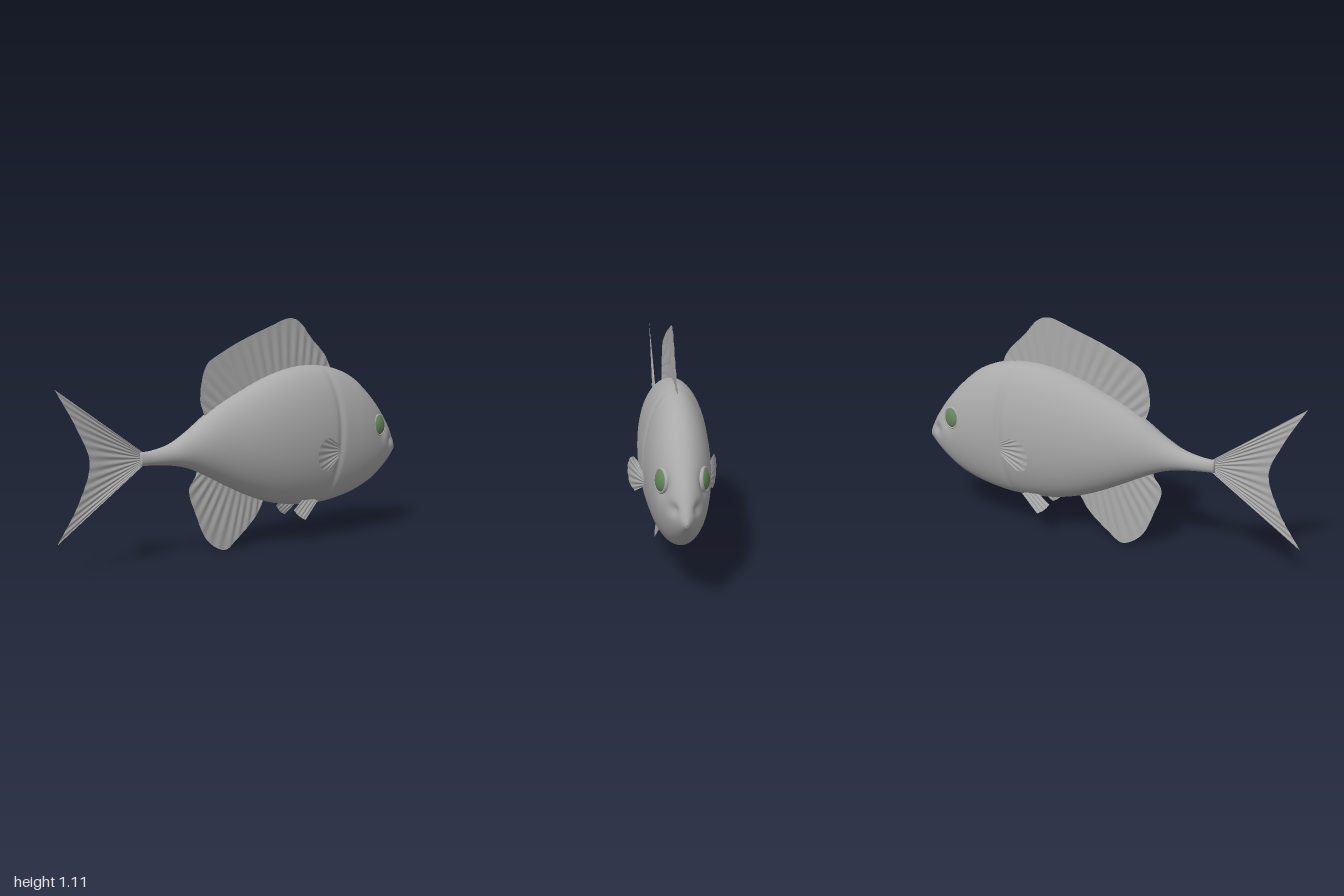
import * as THREE from 'three';

const skin = new THREE.MeshStandardMaterial({ color: 0xaaaaaa });
skin.name = 'grey skin';
const finSkin = new THREE.MeshStandardMaterial({ color: 0xaaaaaa, side: THREE.DoubleSide });
finSkin.name = 'grey fin';
const iris = new THREE.MeshStandardMaterial({ color: 0x64855a });
iris.name = 'green eye';

// Body stations: x, top y, bottom y, half width
const stations = [
  [-0.565, 0.53, 0.465, 0.018], [-0.5, 0.533, 0.462, 0.027], [-0.4, 0.555, 0.452, 0.044],
  [-0.3, 0.607, 0.428, 0.065], [-0.2, 0.674, 0.382, 0.088], [-0.1, 0.73, 0.33, 0.109],
  [0, 0.775, 0.28, 0.128], [0.1, 0.817, 0.237, 0.143], [0.2, 0.85, 0.205, 0.153],
  [0.3, 0.872, 0.186, 0.158], [0.4, 0.88, 0.178, 0.158], [0.5, 0.873, 0.178, 0.153],
  [0.6, 0.85, 0.19, 0.147], [0.7, 0.802, 0.213, 0.136], [0.8, 0.715, 0.252, 0.114],
  [0.88, 0.625, 0.302, 0.084], [0.94, 0.54, 0.35, 0.052], [0.975, 0.478, 0.383, 0.028],
  [0.995, 0.435, 0.402, 0.01],
];

const gauss = (d, w) => Math.exp(-(d * d) / (w * w));

function mesh(name, geometry, material) {
  const m = new THREE.Mesh(geometry, material);
  m.name = name;
  return m;
}

// Triangles for a grid of rows x cols vertices; wrap joins the last column to the first
function gridGeometry(positions, rows, cols, wrap) {
  const index = [];
  for (let i = 0; i < rows - 1; i++) {
    for (let j = 0; j < (wrap ? cols : cols - 1); j++) {
      const k = (j + 1) % cols;
      const a = i * cols + j, b = i * cols + k, c = a + cols, d = b + cols;
      index.push(a, b, c, b, d, c);
    }
  }
  const g = new THREE.BufferGeometry();
  g.setAttribute('position', new THREE.Float32BufferAttribute(positions, 3));
  g.setIndex(index);
  g.computeVertexNormals();
  return g;
}

// Body: elliptical sections with a gill groove, mouth crease and closed ends
function bodyGeometry() {
  const outline = new THREE.CatmullRomCurve3(
    stations.map(s => new THREE.Vector3(s[0], s[1], s[2])), false, 'catmullrom', 0.5);
  const widths = new THREE.CatmullRomCurve3(
    stations.map(s => new THREE.Vector3(s[0], s[3], 0)), false, 'catmullrom', 0.5);
  const rings = 180, cols = 56, pos = [];
  for (let i = -1; i <= rings + 1; i++) {
    const t = Math.min(Math.max(i / rings, 0), 1);
    const end = i < 0 || i > rings ? 0 : 1;
    const p = outline.getPoint(t), w = widths.getPoint(t).y * end;
    const mid = (p.y + p.z) / 2, half = (p.y - p.z) / 2 * end;
    const x = p.x + (i > rings ? 0.005 : 0);
    for (let j = 0; j < cols; j++) {
      const a = j / cols * Math.PI * 2;
      const y = mid + half * Math.cos(a);
      let z = w * Math.sin(a);
      const gillX = 0.525 - 0.35 * (y - 0.56) ** 2;
      z *= 1 - 0.06 * gauss(x - gillX, 0.018);
      z *= 1 - 0.3 * gauss(x - 0.935, 0.03) * gauss(y - 0.465, 0.025);
      z *= 1 - 0.18 * gauss(x - 0.85, 0.04) * gauss(y - 0.54, 0.05);
      pos.push(x, y, z);
    }
  }
  return gridGeometry(pos, rings + 3, cols, true);
}

// Fin: ruled sheet from a root curve to an edge curve, gently rippled by its rays
function finGeometry(root, edge, rays, ripple, zAt = () => 0) {
  const curve = pts => new THREE.CatmullRomCurve3(
    pts.map(p => new THREE.Vector3(p[0], p[1], 0)), false, 'centripetal');
  const r = curve(root), e = curve(edge);
  const rows = 8, cols = rays * 6 + 1, pos = [];
  for (let i = 0; i <= rows; i++) {
    for (let j = 0; j < cols; j++) {
      const u = j / (cols - 1), v = i / rows;
      const p = r.getPointAt(u).lerp(e.getPointAt(u), v);
      const wave = ripple * Math.sin(u * rays * Math.PI * 2) * Math.sin(Math.PI * (0.1 + 0.8 * v));
      pos.push(p.x, p.y, zAt(p.x, p.y) + wave);
    }
  }
  return gridGeometry(pos, rows + 1, cols, false);
}

function eye(side) {
  const g = new THREE.Group();
  g.name = side > 0 ? 'leftEye' : 'rightEye';
  const ball = mesh('eyeball', new THREE.SphereGeometry(0.05, 32, 20), iris);
  ball.scale.z = 0.45;
  const lid = mesh('eyelid', new THREE.TorusGeometry(0.051, 0.007, 10, 40), skin);
  lid.scale.z = 1.6;
  g.add(ball, lid);
  g.position.set(0.815, 0.555, side * 0.091);
  g.lookAt(0.815 + 0.38, 0.555 + 0.12, side * 1.091);
  return g;
}

export function createModel() {
  const fish = new THREE.Group();
  fish.name = 'fish';
  fish.add(mesh('body', bodyGeometry(), skin));

  // Fins on the centre line
  fish.add(mesh('dorsalFin', finGeometry(
    [[0.57, 0.84], [0.4, 0.86], [0.2, 0.83], [0, 0.755], [-0.2, 0.655]],
    [[0.57, 0.85], [0.53, 0.925], [0.44, 1.016], [0.37, 1.095], [0.31, 1.118], [0.17, 1.077],
      [0, 1.016], [-0.1, 0.97], [-0.18, 0.925], [-0.207, 0.88], [-0.228, 0.75], [-0.2, 0.66]],
    18, 0.003), finSkin));
  fish.add(mesh('analFin', finGeometry(
    [[0.15, 0.235], [0.05, 0.275], [-0.1, 0.345], [-0.25, 0.415]],
    [[0.14, 0.21], [0.096, 0.144], [-0.016, 0.046], [-0.085, 0.003], [-0.187, 0.06],
      [-0.257, 0.2], [-0.294, 0.325], [-0.257, 0.385], [-0.25, 0.41]],
    12, 0.003), finSkin));
  fish.add(mesh('tailFin', finGeometry(
    [[-0.55, 0.53], [-0.55, 0.465]],
    [[-1, 0.85], [-0.89, 0.66], [-0.83, 0.505], [-0.89, 0.325], [-1, 0.15]],
    14, 0.003), finSkin));

  // Paired fins and eyes
  for (const side of [1, -1]) {
    const label = side > 0 ? 'left' : 'right';
    fish.add(mesh(label + 'PectoralFin', finGeometry(
      [[0.51, 0.485], [0.51, 0.425]],
      [[0.44, 0.53], [0.39, 0.53], [0.345, 0.5], [0.328, 0.45], [0.35, 0.39], [0.41, 0.37]],
      7, 0.003, x => side * (0.207 - (x - 0.328) * 0.33)), finSkin));
    fish.add(mesh(label + 'PelvicFin', finGeometry(
      [[0.36, 0.225], [0.44, 0.2]],
      [[0.28, 0.168], [0.31, 0.135], [0.345, 0.113]],
      4, 0.002, (x, y) => side * (0.064 + (0.21 - y) * 0.22)), finSkin));
    fish.add(eye(side));
  }
  return fish;
}
